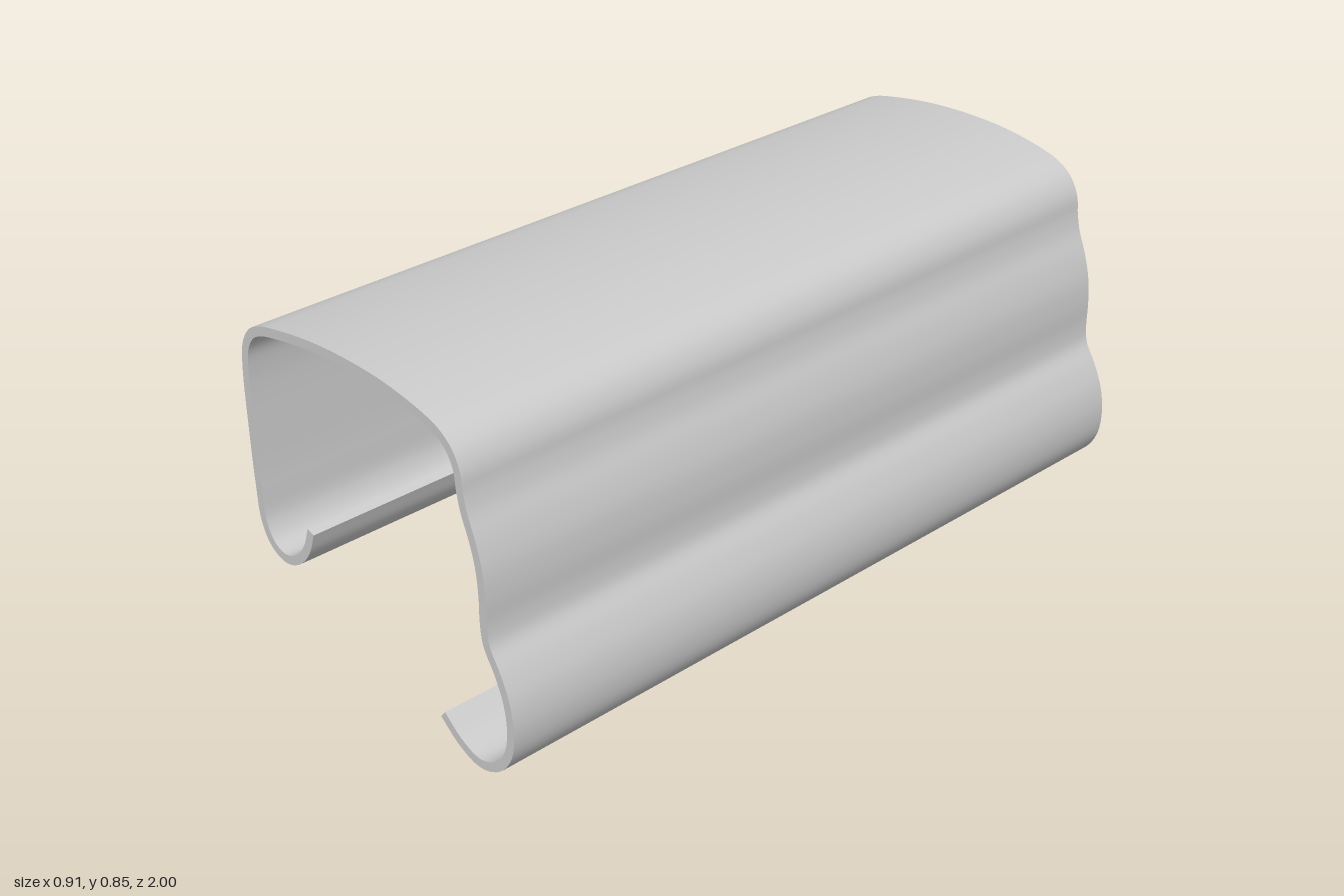
import * as THREE from 'three';
import { toCreasedNormals } from 'three/addons/utils/BufferGeometryUtils.js';

const THICKNESS = 0.023;
const LENGTH = 2;
const STEPS = 180;

// Centre line of the bent sheet, from the small hook over the top to the large hook
const CENTRE_LINE = [
  [-0.242, 0.341], [-0.262, 0.288], [-0.3, 0.243], [-0.352, 0.222], [-0.4, 0.24], [-0.428, 0.288],
  [-0.437, 0.38], [-0.441, 0.5], [-0.441, 0.68], [-0.431, 0.74], [-0.405, 0.778], [-0.37, 0.797],
  [-0.3, 0.813], [-0.18, 0.83], [-0.05, 0.836], [0.08, 0.83], [0.2, 0.809], [0.25, 0.792],
  [0.285, 0.765], [0.306, 0.725], [0.312, 0.68], [0.322, 0.635], [0.345, 0.575], [0.361, 0.515],
  [0.367, 0.45], [0.367, 0.38], [0.374, 0.334], [0.405, 0.28], [0.43, 0.22], [0.4395, 0.15],
  [0.428, 0.085], [0.39, 0.035], [0.33, 0.0125], [0.265, 0.034], [0.209, 0.078],
];

// Closed outline made by offsetting the centre line to both sides
function sheetOutline() {
  const curve = new THREE.CatmullRomCurve3(
    CENTRE_LINE.map(([x, y]) => new THREE.Vector3(x, y, 0)), false, 'centripetal');
  curve.arcLengthDivisions = 1000;
  const outer = [], inner = [];
  for (let i = 0; i <= STEPS; i++) {
    const p = curve.getPointAt(i / STEPS);
    const t = curve.getTangentAt(i / STEPS);
    const dx = -t.y * THICKNESS / 2, dy = t.x * THICKNESS / 2;
    outer.push(new THREE.Vector2(p.x + dx, p.y + dy));
    inner.push(new THREE.Vector2(p.x - dx, p.y - dy));
  }
  return new THREE.Shape([...outer, ...inner.reverse()]);
}

export function createModel() {
  const group = new THREE.Group();
  group.name = 'railProfile';

  // Sheet profile extruded along z, smooth along the bends and sharp at its edges
  const extruded = new THREE.ExtrudeGeometry(sheetOutline(), { depth: LENGTH, steps: 1, bevelEnabled: false });
  extruded.translate(0, 0, -LENGTH / 2);
  const rail = new THREE.Mesh(
    toCreasedNormals(extruded, 0.7),
    new THREE.MeshStandardMaterial({ color: 0xcccccc }));
  rail.name = 'bentSheetRail';
  group.add(rail);
  return group;
}
